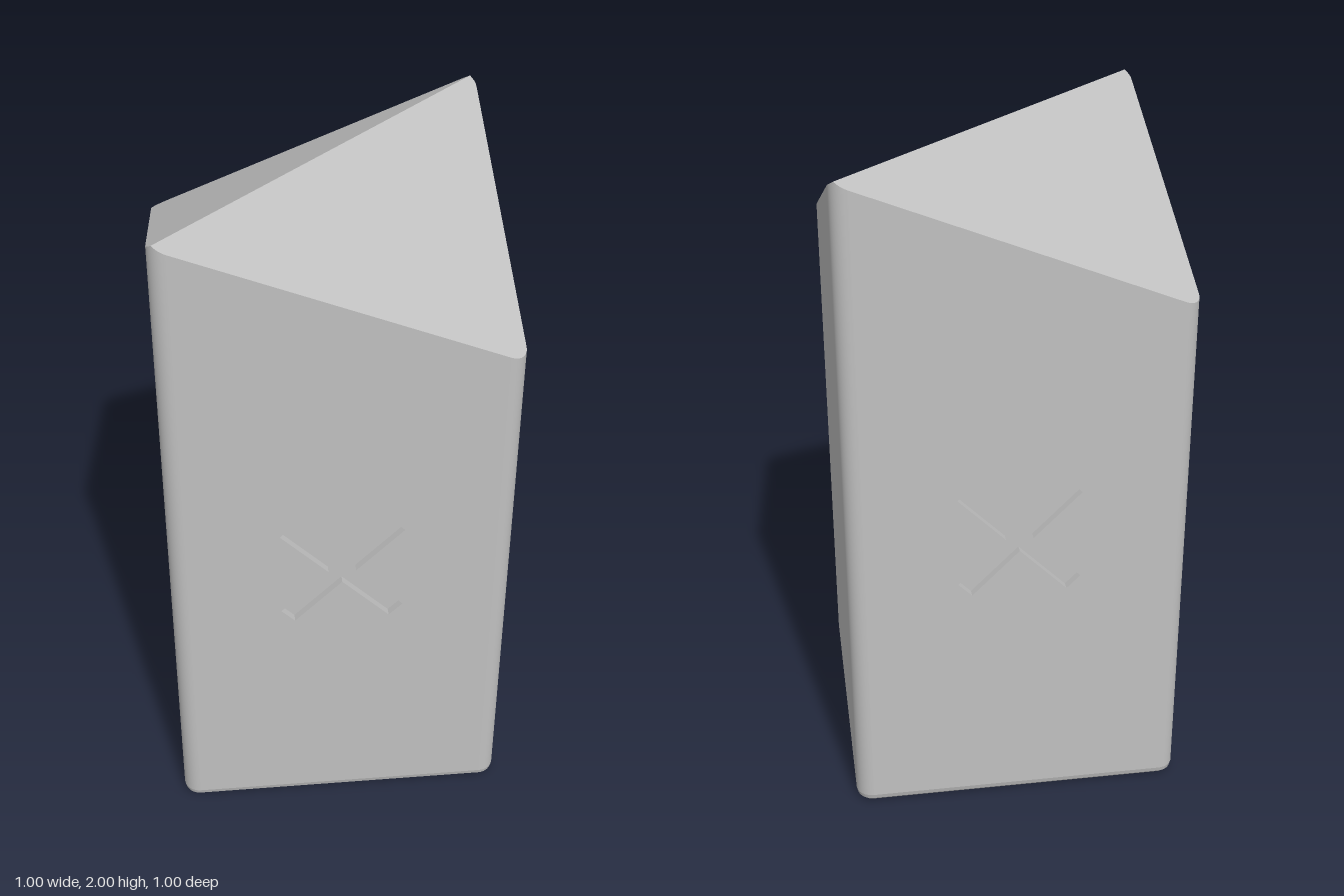
import * as THREE from 'three';
import { toCreasedNormals } from 'three/addons/utils/BufferGeometryUtils.js';

const HALF = 0.5, RADIUS = 0.05, FOOT = 0.03, SEG = 8;
const roofY = (x, z) => 2 - 0.4 * Math.abs(x + z);

// Rounded square in x/z, moved inwards by inset
function ring(inset) {
  const pts = [], c = HALF - RADIUS, r = RADIUS - inset;
  for (let k = 0; k < 4; k++) {
    const cx = k === 0 || k === 3 ? c : -c, cz = k < 2 ? c : -c;
    for (let i = 0; i <= SEG; i++) {
      const a = (k + i / SEG) * Math.PI / 2;
      pts.push([cx + r * Math.cos(a), cz + r * Math.sin(a)]);
    }
  }
  return pts;
}

// Geometry from a list of triangle corners, smooth only across shallow angles
function fromCorners(corners) {
  const g = new THREE.BufferGeometry();
  g.setAttribute('position', new THREE.Float32BufferAttribute(corners.flat(), 3));
  g.computeVertexNormals();
  return toCreasedNormals(g, 0.45);
}

const quad = (a, b, c, d) => [a, b, c, a, c, d];

// Strip between two closed loops; skip(i) leaves a gap
function strip(low, high, skip = () => false) {
  const out = [];
  low.forEach((p, i) => {
    const j = (i + 1) % low.length;
    if (!skip(i)) out.push(...quad(p, high[i], high[j], low[j]));
  });
  return out;
}

const toShape = pts => new THREE.Shape(pts.map(([x, y]) => new THREE.Vector2(x, y)));

// Flat panel facing +z with recessed marks
function engravedPanel(name, outline, marks, depth, material) {
  const group = new THREE.Group();
  group.name = name;
  const add = (geometry, part) => {
    const mesh = new THREE.Mesh(geometry, material);
    mesh.name = part;
    group.add(mesh);
    return mesh;
  };
  const face = toShape(outline);
  face.holes = marks.map(toShape);
  add(new THREE.ShapeGeometry(face), name + 'Face');
  for (const mark of marks) {
    add(new THREE.ShapeGeometry(toShape(mark)), 'recessFloor').position.z = -depth;
    const walls = mark.flatMap(([x, y], i) => {
      const [u, v] = mark[(i + 1) % mark.length];
      return quad([x, y, 0], [u, v, 0], [u, v, -depth], [x, y, -depth]);
    });
    add(fromCorners(walls), 'recessWalls');
  }
  return group;
}

// Diagonal cross, counter-clockwise
function crossMark(cy, a, b) {
  const pts = [];
  for (let k = 0; k < 4; k++) {
    const t = Math.PI / 4 + k * Math.PI / 2, c = Math.cos(t), s = Math.sin(t);
    for (const [x, y] of [[a, -b], [a, b], [b, b]]) pts.push([x * c - y * s, cy + x * s + y * c]);
  }
  return pts;
}

// Chevron pointing to -x, counter-clockwise
const chevron = x => [[x, 0], [x + 0.18, -0.18], [x + 0.3, -0.18], [x + 0.12, 0], [x + 0.3, 0.18], [x + 0.18, 0.18]];

export function createModel() {
  const model = new THREE.Group();
  model.name = 'slantedColumn';
  const grey = new THREE.MeshStandardMaterial({ color: 0xc0c0c0 });
  grey.name = 'grey';
  const add = (name, corners) => {
    const mesh = new THREE.Mesh(fromCorners(corners), grey);
    mesh.name = name;
    model.add(mesh);
  };

  // Side walls and rounded corners, open where the engraved panels sit
  const plan = ring(0), n = SEG + 1;
  const top = plan.map(([x, z]) => [x, roofY(x, z), z]);
  const base = plan.map(([x, z]) => [x, FOOT, z]);
  add('sideWalls', strip(base, top, i => i === n - 1 || i === 3 * n - 1));

  // Rounded foot in three facets
  const levels = [0, 1, 2, 3].map(i => {
    const a = i * Math.PI / 6;
    return ring(FOOT * (1 - Math.cos(a))).map(([x, z]) => [x, FOOT * (1 - Math.sin(a)), z]);
  });
  add('footEdge', [0, 1, 2].flatMap(i => strip(levels[i + 1], levels[i])));

  // Two roof slopes meeting at the diagonal ridge
  for (const [name, start] of [['backSlope', n + SEG / 2], ['frontSlope', 3 * n + SEG / 2]]) {
    const pts = Array.from({ length: 2 * n + 1 }, (_, i) => top[(start + i) % top.length]);
    const tris = [];
    for (let i = 1; i < pts.length - 1; i++) tris.push(pts[0], pts[i + 1], pts[i]);
    add(name, tris);
  }

  // Front and back panels with a cross
  const e = HALF - RADIUS;
  const outline = [[-e, FOOT], [e, FOOT], [e, roofY(e, HALF)], [-e, roofY(-e, HALF)]];
  for (const [name, turn] of [['frontPanel', 0], ['backPanel', Math.PI]]) {
    const panel = engravedPanel(name, outline, [crossMark(0.912, 0.226, 0.0285)], 0.025, grey);
    panel.position.z = turn ? -HALF : HALF;
    panel.rotation.y = turn;
    model.add(panel);
  }

  // Underside with two chevrons and a bar
  const bar = [[-0.33, -0.19], [-0.25, -0.19], [-0.25, 0.19], [-0.33, 0.19]];
  const underside = engravedPanel('underside', ring(FOOT), [chevron(0), chevron(-0.22), bar], 0.03, grey);
  underside.rotation.x = Math.PI / 2;
  model.add(underside);

  return model;
}
